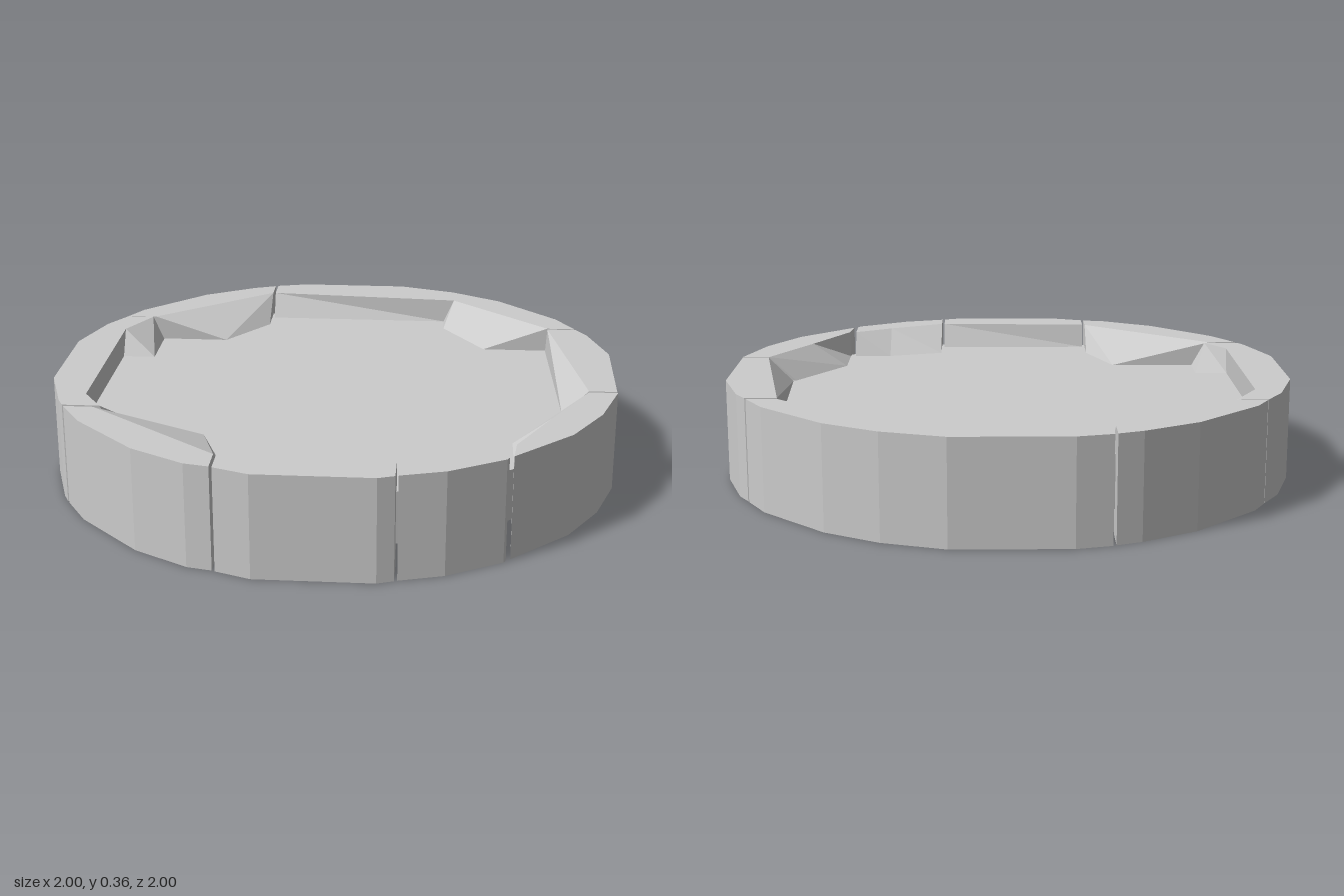
import * as THREE from 'three';

const H = 0.363, FLOOR = 0.272, MID = H / 2;

// Outer outline: a slightly uneven 24-sided ring, by angle
const OUTLINE = [];
for (let q = 0; q < 4; q++) {
  for (const deg of [11.3, 24, 36.2, 53.8, 66, 78.7]) {
    const a = (q * 90 + deg) * Math.PI / 180;
    OUTLINE.push([1.02 * Math.cos(a), 1.02 * Math.sin(a)]);
  }
}

// Rim blocks as [x, z] points: outer ends, then paired edges of the flat top
// (rim) and of the foot of its bevel (foot)
const BLOCKS = [
  { name: 'leftRimBlock', ends: [[0.895, -0.475], [0.998, 0.195]],
    rim: [[0.785, -0.475], [0.9, 0.195]],
    foot: [[0.78, -0.475], [0.81, 0.195]] },
  { name: 'frontLeftRimBlock', ends: [[1, 0.205], [0.625, 0.797]],
    rim: [[0.9, 0.205], [0.76, 0.46], [0.635, 0.7]],
    foot: [[0.8, 0.205], [0.63, 0.47], [0.63, 0.66]] },
  { name: 'smallFrontRimBlock', ends: [[0.61, 0.808], [0.265, 0.976]],
    rim: [[0.61, 0.7], [0.47, 0.78], [0.265, 0.88]],
    foot: [[0.61, 0.665], [0.47, 0.66], [0.265, 0.72]] },
  { name: 'frontRimBlock', ends: [[0.255, 0.98], [-0.32, 0.955]],
    rim: [[0.255, 0.88], [-0.32, 0.855]],
    foot: [[0.255, 0.84], [-0.32, 0.84]] },
  { name: 'frontRightRimBlock', ends: [[-0.33, 0.95], [-0.903, 0.472]],
    rim: [[-0.33, 0.85], [-0.33, 0.85], [-0.8, 0.472]],
    foot: [[-0.33, 0.71], [-0.42, 0.472], [-0.42, 0.472]] },
  { name: 'rightRimBlock', ends: [[-0.91, 0.46], [-0.87, -0.517]],
    rim: [[-0.78, 0.46], [-0.78, 0.46], [-0.85, 0.35], [-0.85, -0.36], [-0.77, -0.517], [-0.77, -0.517]],
    foot: [[-0.73, 0.46], [-0.73, 0.32], [-0.85, 0.32], [-0.85, -0.3], [-0.73, -0.3], [-0.73, -0.517]] },
  { name: 'backRightRimBlock', ends: [[-0.868, -0.521], [-0.33, -0.965]],
    rim: [[-0.76, -0.521], [-0.33, -0.87], [-0.33, -0.87]],
    foot: [[-0.48, -0.521], [-0.48, -0.521], [-0.33, -0.73]] },
  { name: 'backRimBlock', ends: [[-0.32, -0.97], [0.89, -0.485]],
    rim: [[-0.32, -0.87], [0.42, -0.82], [0.42, -0.82], [0.42, -0.82], [0.785, -0.485]],
    foot: [[-0.32, -0.82], [0.38, -0.82], [0.38, -0.73], [0.54, -0.485], [0.54, -0.485]] },
];

// Outline corners lying between the two ends of a block
function outerEdge([start, end]) {
  const turn = (p) => {
    const t = Math.atan2(p[1], p[0]) - Math.atan2(start[1], start[0]);
    return (t + 4 * Math.PI) % (2 * Math.PI);
  };
  const between = OUTLINE
    .filter((p) => turn(p) > 0.012 && turn(p) < turn(end) - 0.012)
    .sort((a, b) => turn(a) - turn(b));
  return [start, ...between, end];
}

// Builds the upper half of a block; every triangle is mirrored to the lower half
function blockGeometry({ ends, rim, foot }) {
  const pos = [];
  const at = (p, y) => [p[0], y, p[1]];
  const flip = (p) => [p[0], H - p[1], p[2]];
  const tri = (a, b, c) => pos.push(...a, ...b, ...c, ...flip(a), ...flip(c), ...flip(b));
  const quad = (a, b, c, d) => { tri(a, b, c); tri(a, c, d); };
  const outer = outerEdge(ends);

  // Flat top
  const inner = rim.filter((p, i) => !i || p[0] !== rim[i - 1][0] || p[1] !== rim[i - 1][1]);
  const loop = [...outer, ...inner.reverse()].map((p) => new THREE.Vector2(...p));
  for (const face of THREE.ShapeUtils.triangulateShape(loop, [])) {
    const [a, b, c] = face.map((i) => loop[i]);
    const turn = (b.x - a.x) * (c.y - a.y) - (b.y - a.y) * (c.x - a.x);
    const [p, q, r] = (turn < 0 ? [a, b, c] : [a, c, b]).map((v) => [v.x, H, v.y]);
    tri(p, q, r);
  }
  // Outer wall
  for (let i = 0; i + 1 < outer.length; i++) {
    const a = outer[i], b = outer[i + 1];
    quad(at(a, H), at(b, H), at(b, MID), at(a, MID));
  }
  // Bevel and inner wall
  for (let i = 0; i + 1 < rim.length; i++) {
    quad(at(rim[i], H), at(foot[i], FLOOR), at(foot[i + 1], FLOOR), at(rim[i + 1], H));
    quad(at(foot[i], FLOOR), at(foot[i], MID), at(foot[i + 1], MID), at(foot[i + 1], FLOOR));
  }
  // End faces at the seams
  const endFace = (o, r, f, reverse) => {
    const pts = [at(o, H), at(r, H), at(f, FLOOR), at(f, MID), at(o, MID)];
    if (reverse) pts.reverse();
    for (let i = 1; i < 4; i++) tri(pts[0], pts[i], pts[i + 1]);
  };
  endFace(ends[0], rim[0], foot[0], true);
  endFace(ends[1], rim.at(-1), foot.at(-1), false);

  const geometry = new THREE.BufferGeometry();
  geometry.setAttribute('position', new THREE.Float32BufferAttribute(pos, 3));
  geometry.computeVertexNormals();
  return geometry;
}

export function createModel() {
  const model = new THREE.Group();
  model.name = 'segmentedDisc';
  const material = new THREE.MeshStandardMaterial({ color: 0xcccccc, flatShading: true });

  // Recessed centre plate, tucked into the rim blocks
  const plate = new THREE.Mesh(new THREE.CylinderGeometry(0.935, 0.935, 2 * FLOOR - H, 32), material);
  plate.position.y = MID;
  plate.name = 'centrePlate';
  model.add(plate);

  // Ring of bevelled blocks
  for (const block of BLOCKS) {
    const mesh = new THREE.Mesh(blockGeometry(block), material);
    mesh.name = block.name;
    model.add(mesh);
  }
  return model;
}
